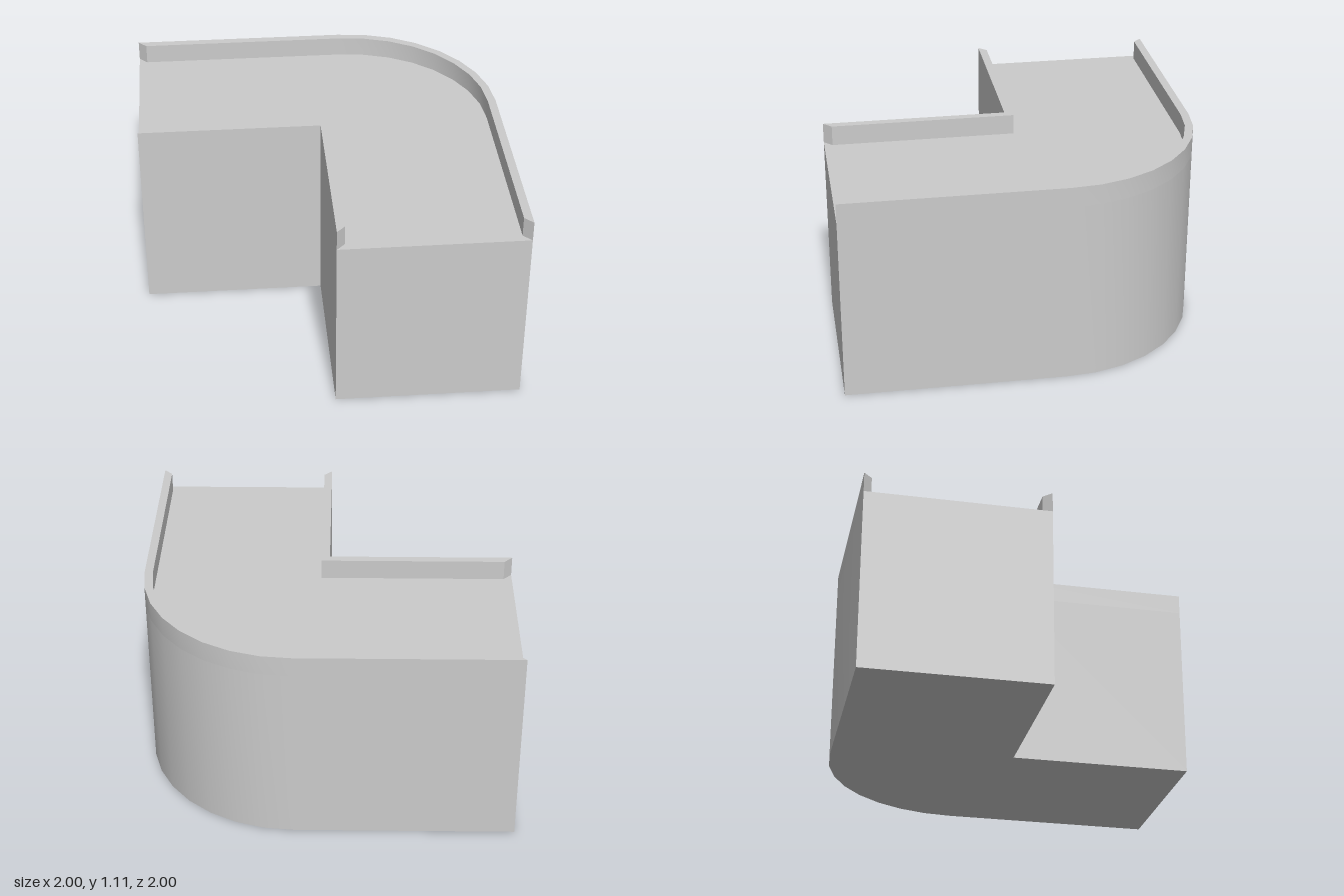
import * as THREE from 'three';
import { toCreasedNormals } from 'three/addons/utils/BufferGeometryUtils.js';

const FLOOR = 1.0;    // height of the channel floor
const WALL = 0.11;    // height of the side walls above the floor
const T = 0.045;      // wall thickness
const C = 0.18;       // centre of the outer bend (x = C, plan y = C)
const R = 1 - C;      // radius of the outer bend
const SEGMENTS = 8;

// Outer side of the bend in plan (plan y = -z), inset by d, from the left end to the front end
function outerSide(d) {
  const points = [new THREE.Vector2(-1 + d, 1 - d)];
  for (let i = 0; i <= SEGMENTS; i++) {
    const a = (Math.PI / 2) * (1 - i / SEGMENTS);
    points.push(new THREE.Vector2(C + (R - d) * Math.cos(a), C + (R - d) * Math.sin(a)));
  }
  points.push(new THREE.Vector2(1 - d, -1 + d));
  return points;
}

// Inner side of the bend, inset by d, in the same direction
function innerSide(d) {
  return [[-1 + d, d], [d, d], [d, -1 + d]].map(([x, y]) => new THREE.Vector2(x, y));
}

// Raise a plan outline into a solid that stands on the given height
function prism(name, outline, base, height, material) {
  const geometry = new THREE.ExtrudeGeometry(new THREE.Shape(outline), {
    depth: height, bevelEnabled: false, steps: 1,
  });
  geometry.rotateX(-Math.PI / 2);
  geometry.translate(0, base, 0);
  const mesh = new THREE.Mesh(toCreasedNormals(geometry, 0.5), material);
  mesh.name = name;
  return mesh;
}

export function createModel() {
  const material = new THREE.MeshStandardMaterial({ color: 0xcccccc });
  const model = new THREE.Group();
  model.name = 'cornerChannel';

  // Solid block whose top is the channel floor
  model.add(prism('body', [...outerSide(0), ...innerSide(0).reverse()], 0, FLOOR, material));

  // Side walls with mitred ends; both ends of the channel stay open
  for (const [name, side] of [['outerWall', outerSide], ['innerWall', innerSide]]) {
    model.add(prism(name, [...side(0), ...side(T).reverse()], FLOOR, WALL, material));
  }
  return model;
}
